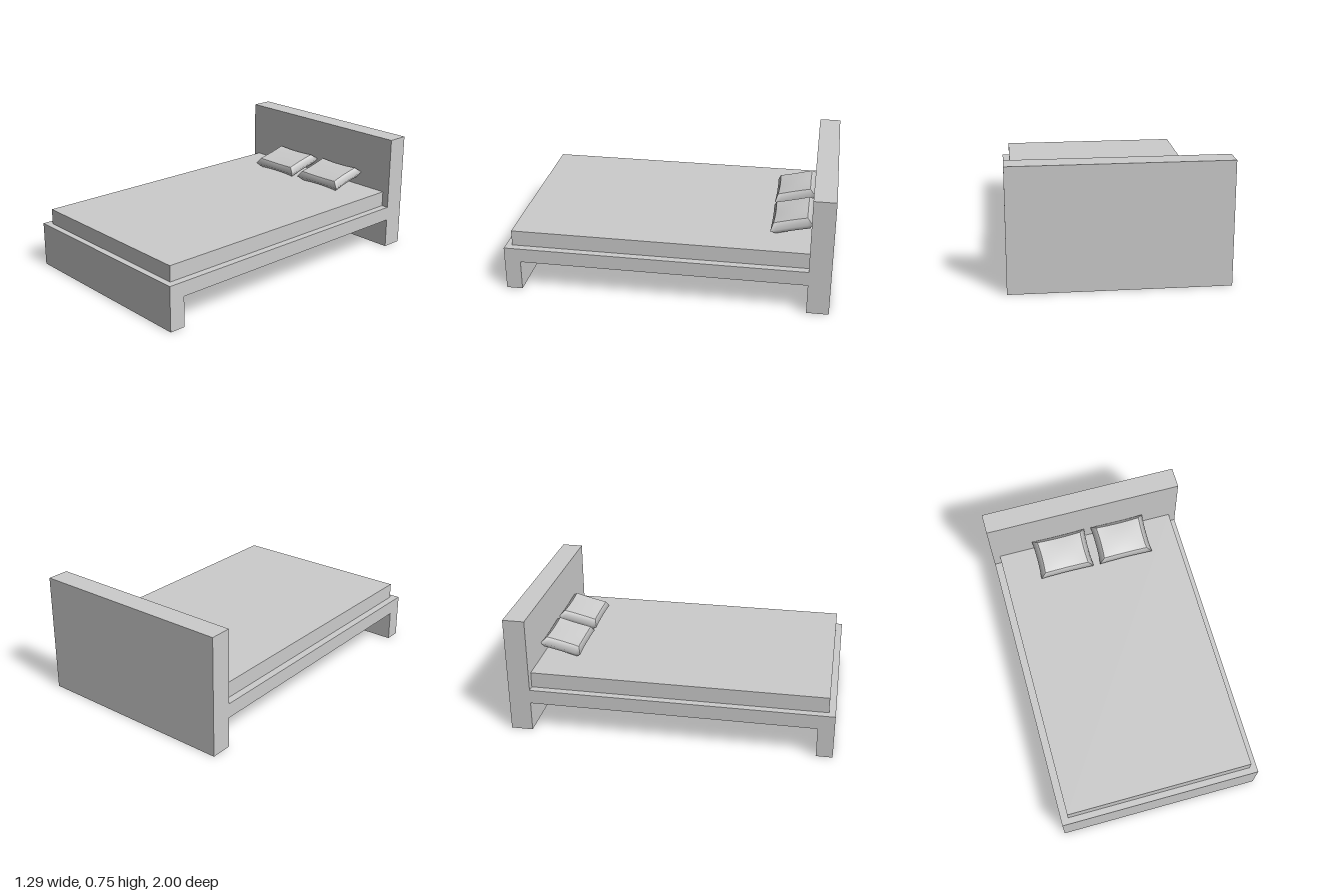
import * as THREE from 'three';

const material = new THREE.MeshStandardMaterial({ color: 0xcccccc });

function part(name, geometry) {
  const mesh = new THREE.Mesh(geometry, material);
  mesh.name = name;
  return mesh;
}

// Headboard, platform and foot panel as one side profile (z, y) run across the width
function bedFrame(width) {
  const profile = [
    [-1, 0], [-0.865, 0], [-0.865, 0.19], [0.9, 0.19], [0.9, 0],
    [1, 0], [1, 0.28], [-0.865, 0.28], [-0.865, 0.745], [-1, 0.745],
  ];
  const shape = new THREE.Shape(profile.map(([z, y]) => new THREE.Vector2(-z, y)));
  const geometry = new THREE.ExtrudeGeometry(shape, { depth: width, bevelEnabled: false });
  geometry.translate(0, 0, -width / 2).rotateY(Math.PI / 2);
  return part('bedFrame', geometry);
}

// Pillow: box swelling to a seam at mid height, with slightly pinched edges
function pillowGeometry() {
  const geometry = new THREE.BoxGeometry(2, 2, 2, 10, 2, 8);
  const p = geometry.attributes.position;
  for (let i = 0; i < p.count; i++) {
    const u = p.getX(i), v = p.getY(i), w = p.getZ(i);
    const seam = 1 - Math.abs(v);
    const bowX = 1 - 0.03 * (1 - w * w);
    const bowZ = 1 - 0.03 * (1 - u * u);
    const sag = 1 - 0.15 * (1 - u * u) * w * w;
    p.setXYZ(i,
      u * (0.147 + 0.034 * seam) * bowX,
      v * 0.036 * sag,
      w * (0.106 + 0.025 * seam) * bowZ);
  }
  geometry.computeVertexNormals();
  return geometry;
}

export function createModel() {
  const bed = new THREE.Group();
  bed.name = 'bed';
  bed.add(bedFrame(1.286));

  // Mattress
  const mattress = part('mattress', new THREE.BoxGeometry(1.194, 0.098, 1.825));
  mattress.position.set(0, 0.329, 0.0475);
  bed.add(mattress);

  // Two pillows leaning on the headboard
  const geometry = pillowGeometry();
  for (const [name, x] of [['rightPillow', -0.185], ['leftPillow', 0.222]]) {
    const pillow = part(name, geometry);
    pillow.position.set(x, 0.438, -0.742);
    pillow.rotation.x = 0.24;
    bed.add(pillow);
  }
  return bed;
}
